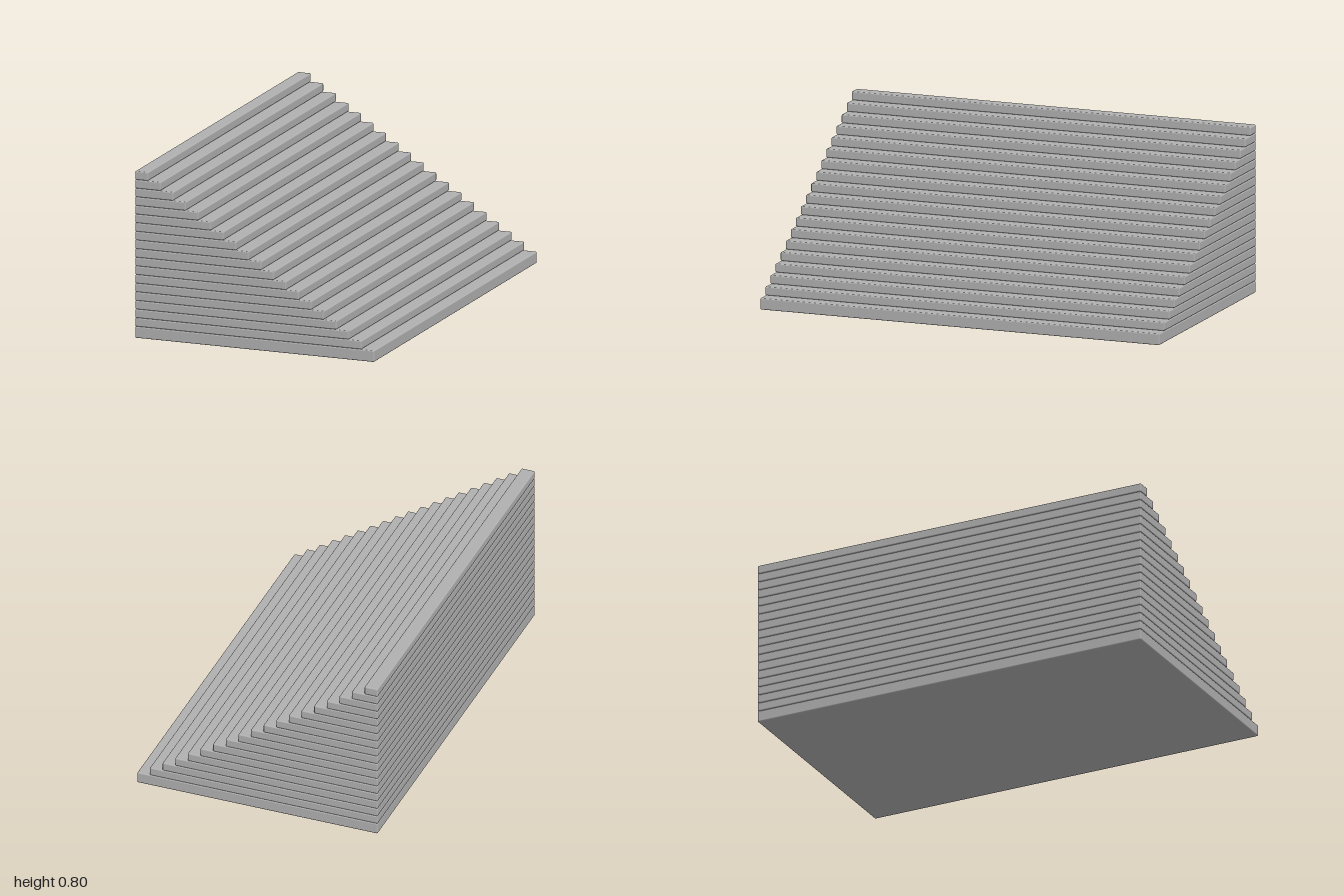
import * as THREE from 'three';
import { RoundedBoxGeometry } from 'three/addons/geometries/RoundedBoxGeometry.js';

const STEPS = 19;
const LENGTH = 2;        // along z
const BACK_X = -0.6;     // shared flush side of all slabs
const BASE_HEIGHT = 0.055;
const RISE = (0.8 - BASE_HEIGHT) / (STEPS - 1);
const RUN = 0.063;
const BEVEL = 0.006;

export function createModel() {
  const model = new THREE.Group();
  model.name = 'steppedBleacher';

  const stone = new THREE.MeshStandardMaterial({ color: 0xb0b0b0 });
  stone.name = 'grey stone';

  // Stack of bevelled slabs, each one tread shorter than the slab below
  for (let i = 0; i < STEPS; i++) {
    const width = 1.2 - i * RUN;
    const height = i === 0 ? BASE_HEIGHT : RISE;
    const top = BASE_HEIGHT + i * RISE;
    const slab = new THREE.Mesh(new RoundedBoxGeometry(width, height, LENGTH, 2, BEVEL), stone);
    slab.name = i === 0 ? 'baseSlab' : `stepSlab${i}`;
    slab.position.set(BACK_X + width / 2, top - height / 2, 0);
    model.add(slab);
  }
  return model;
}
